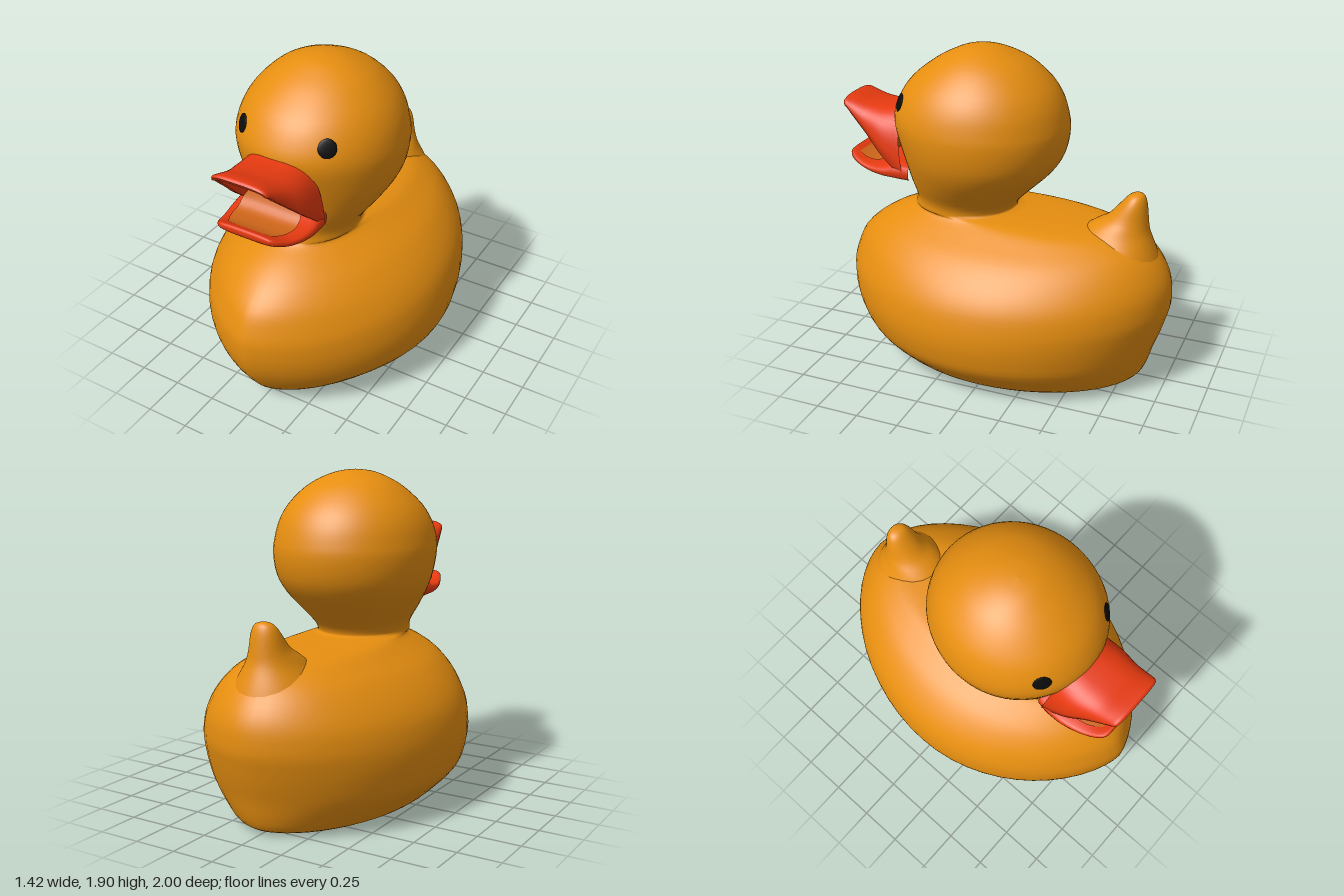
import * as THREE from 'three';

const paint = (name, color, side = THREE.FrontSide) => {
  const m = new THREE.MeshStandardMaterial({ color, side });
  m.name = name;
  return m;
};

// Smoothly subdivide a table of section values, without overshoot
function refine(rows, steps) {
  const at = (i, c) => rows[Math.min(Math.max(i, 0), rows.length - 1)][c];
  const slope = (i, c) => {
    if (i === 0 || i === rows.length - 1) return at(i + 1, c) - at(i - 1, c);
    const a = at(i, c) - at(i - 1, c), b = at(i + 1, c) - at(i, c);
    if (a * b <= 0) return 0;
    return Math.sign(a) * Math.min(Math.abs(a + b) / 2, 3 * Math.abs(a), 3 * Math.abs(b));
  };
  const out = [];
  for (let i = 0; i < rows.length - 1; i++) {
    for (let k = 0; k < steps; k++) {
      const t = k / steps, t2 = t * t, t3 = t2 * t;
      out.push(rows[i].map((v, c) => v * (2 * t3 - 3 * t2 + 1) + at(i + 1, c) * (3 * t2 - 2 * t3)
        + slope(i, c) * (t3 - 2 * t2 + t) + slope(i + 1, c) * (t3 - t2)));
    }
  }
  out.push(rows[rows.length - 1]);
  return out;
}

// Skin a list of rings of [x, y, z] points
function loft(rings, closed = true) {
  const n = rings[0].length, index = [];
  for (let i = 0; i < rings.length - 1; i++) {
    for (let j = 0; j < (closed ? n : n - 1); j++) {
      const k = (j + 1) % n, a = i * n + j, b = i * n + k;
      index.push(a, b, b + n, a, b + n, a + n);
    }
  }
  const g = new THREE.BufferGeometry();
  g.setAttribute('position', new THREE.Float32BufferAttribute(rings.flat(2), 3));
  g.setIndex(index);
  g.computeVertexNormals();
  return g;
}

const pow = (v, p) => Math.sign(v) * Math.abs(v) ** p;

// Horizontal ring from [y, front z, back z, half width]; the body is pointed, the head round
function slice([y, zf, zb, hw]) {
  const point = 1 - THREE.MathUtils.smoothstep(y, 0.6, 0.95);
  return Array.from({ length: 56 }, (_, j) => {
    const a = j / 56 * Math.PI * 2, c = Math.cos(a);
    const p = 1 + point * (c > 0 ? 0.32 : 0.12);
    return [hw * pow(Math.sin(a), p), y, (zf + zb) / 2 + (zf - zb) / 2 * c];
  });
}

export function createModel() {
  const duck = new THREE.Group();
  duck.name = 'bathDuck';
  const yellow = paint('golden yellow', 0xe68e10);
  const red = paint('bill red', 0xe63a10);
  const orange = paint('mouth orange', 0xd0661a, THREE.DoubleSide);
  const black = paint('eye black', 0x0c0c0c);
  const grey = paint('squeaker grey', 0x8c93a4);
  const add = (name, geometry, material) => {
    const mesh = new THREE.Mesh(geometry, material);
    mesh.name = name;
    duck.add(mesh);
    return mesh;
  };

  // Body, neck and head in one skin: y, front z, back z, half width
  const bodyRows = refine([
    [0.004, 0.72, -0.78, 0.42], [0.03, 0.78, -0.845, 0.5], [0.1, 0.85, -0.88, 0.58],
    [0.2, 0.92, -0.91, 0.67], [0.3, 0.97, -0.945, 0.7], [0.4, 0.995, -0.975, 0.71],
    [0.5, 1.0, -0.997, 0.7], [0.6, 0.975, -0.993, 0.67], [0.7, 0.925, -0.96, 0.605],
    [0.8, 0.82, -0.89, 0.505], [0.87, 0.71, -0.8, 0.395], [0.915, 0.61, -0.66, 0.32],
    [0.935, 0.575, -0.35, 0.28], [0.95, 0.56, -0.05, 0.265], [1.0, 0.553, -0.07, 0.275],
    [1.1, 0.575, -0.17, 0.345], [1.2, 0.595, -0.27, 0.41], [1.3, 0.62, -0.33, 0.452],
    [1.43, 0.655, -0.355, 0.47], [1.5, 0.66, -0.348, 0.464], [1.6, 0.625, -0.32, 0.438],
    [1.7, 0.555, -0.26, 0.382], [1.8, 0.43, -0.15, 0.283], [1.86, 0.32, -0.03, 0.182],
    [1.89, 0.24, 0.06, 0.09], [1.9, 0.15, 0.15, 0],
  ], 3);
  const rim = bodyRows[0];
  const base = [0, 0.97].map(s => [rim[0], rim[1] * s, rim[2] * s, rim[3] * s]);
  add('bodyAndHead', loft([...base, ...bodyRows].map(slice)), yellow);

  // Upturned tail, its root sunk in the body
  add('tail', loft(refine([
    [0.65, -0.35, -0.95, 0.3], [0.8, -0.42, -0.9, 0.23], [0.9, -0.47, -0.862, 0.165],
    [0.95, -0.53, -0.848, 0.135], [1.0, -0.61, -0.842, 0.108], [1.08, -0.68, -0.832, 0.085],
    [1.125, -0.718, -0.82, 0.063], [1.145, -0.745, -0.803, 0.035], [1.15, -0.775, -0.775, 0],
  ], 3).map(slice)), yellow);

  // Upper bill, an arched shell: top y, top z, side y, side z, half width, thickness
  const arch = ([yt, zt, ys, zs, hw, t], inset) => Array.from({ length: 25 }, (_, j) => {
    const a = j / 24 * Math.PI, up = Math.max(Math.sin(a), 0) ** 0.7;
    return [(hw - inset * t) * pow(Math.cos(a), 0.7),
      ys + (yt - ys - inset * t) * up, zs + (zt - zs) * up];
  });
  add('upperBill', loft(refine([
    [1.52, 0.6, 1.13, 0.55, 0.25, 0.03], [1.505, 0.71, 1.25, 0.69, 0.238, 0.035],
    [1.515, 0.82, 1.355, 0.8, 0.203, 0.04], [1.54, 0.91, 1.44, 0.89, 0.182, 0.042],
    [1.547, 0.955, 1.49, 0.94, 0.172, 0.036], [1.535, 0.972, 1.495, 0.955, 0.162, 0],
  ], 4).map(r => [...arch(r, 0), ...arch(r, 1).reverse()])), red);

  // Lower bill: z, half width, bottom y, top y
  add('lowerBill', loft(refine([
    [0.52, 0.24, 1.09, 1.21], [0.6, 0.256, 1.1, 1.215], [0.67, 0.255, 1.108, 1.195],
    [0.76, 0.24, 1.122, 1.183], [0.84, 0.217, 1.142, 1.195], [0.9, 0.19, 1.165, 1.222],
    [0.925, 0.165, 1.182, 1.232], [0.935, 0.13, 1.2, 1.222], [0.936, 0, 1.21, 1.21],
  ], 3).map(([z, hw, yb, yt]) => Array.from({ length: 32 }, (_, j) => {
    const a = j / 32 * Math.PI * 2;
    return [hw * pow(Math.cos(a), 0.6), (yb + yt) / 2 + (yt - yb) / 2 * pow(Math.sin(a), 0.6), z];
  }))), red);

  // Mouth floor rising to the throat: z, y, half width
  add('mouthFloor', loft(refine([
    [0.885, 1.216, 0.13], [0.83, 1.199, 0.165], [0.75, 1.194, 0.185],
    [0.69, 1.225, 0.185], [0.66, 1.29, 0.15], [0.635, 1.37, 0.11],
  ], 3).map(([z, y, hw]) => [-1, -0.5, 0, 0.5, 1].map(s => [s * hw, y, z])), false), orange);

  // Eyes, thin ovals lying on the head
  for (const side of [1, -1]) {
    const eye = add(side > 0 ? 'leftEye' : 'rightEye', new THREE.SphereGeometry(1, 24, 12), black);
    const normal = new THREE.Vector3(side * 1.34, 0.72, 1.7).normalize();
    eye.scale.set(0.05, 0.053, 0.008);
    eye.position.set(side * 0.258, 1.592, 0.54).addScaledVector(normal, 0.003);
    eye.quaternion.setFromUnitVectors(new THREE.Vector3(0, 0, 1), normal);
  }

  // Squeaker plug under the base
  add('squeaker', new THREE.CylinderGeometry(0.04, 0.04, 0.006, 20), grey).position.y = 0.003;

  return duck;
}
